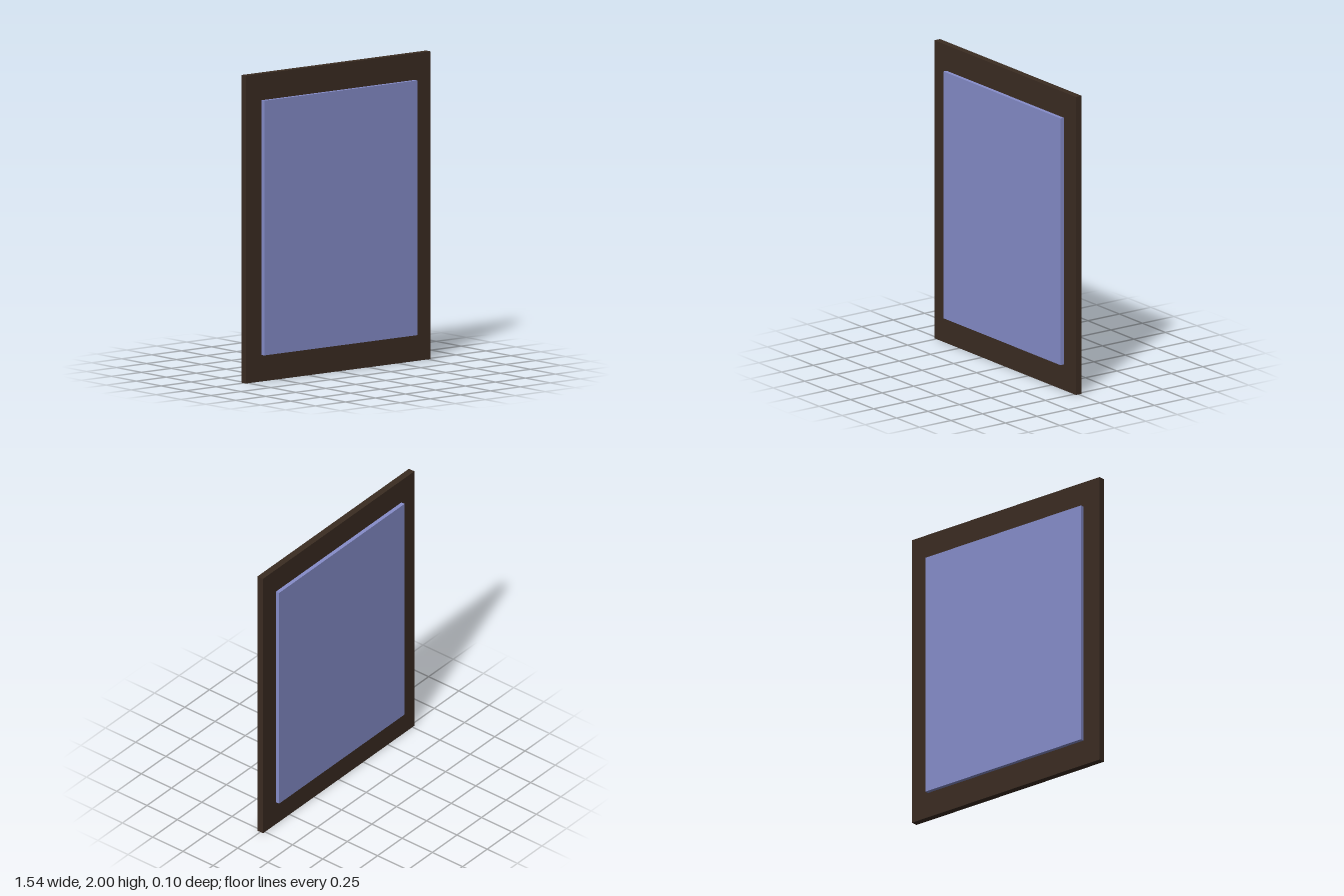
import * as THREE from 'three';

const W = 1.54, H = 2, FRAME_DEPTH = 0.045;
const PANE_W = 1.276, PANE_H = 1.656, PANE_DEPTH = 0.097;

// Rectangle corners centred on the origin
function rectangle(w, h) {
  return [[-1, -1], [1, -1], [1, 1], [-1, 1]].map(([x, y]) => new THREE.Vector2(x * w / 2, y * h / 2));
}

export function createModel() {
  const group = new THREE.Group();
  group.name = 'window';

  const darkWood = new THREE.MeshStandardMaterial({ color: 0x3b2c22 });
  darkWood.name = 'dark wood';
  const blueGlass = new THREE.MeshStandardMaterial({ color: 0x868dca });
  blueGlass.name = 'blue glass';

  // Flat frame with a rectangular opening
  const outline = new THREE.Shape(rectangle(W, H));
  outline.holes.push(new THREE.Path(rectangle(PANE_W, PANE_H)));
  const frameGeometry = new THREE.ExtrudeGeometry(outline, { depth: FRAME_DEPTH, bevelEnabled: false });
  frameGeometry.translate(0, 0, -FRAME_DEPTH / 2);
  const frame = new THREE.Mesh(frameGeometry, darkWood);
  frame.name = 'frame';

  // Thick pane standing proud of the frame on both sides
  const pane = new THREE.Mesh(new THREE.BoxGeometry(PANE_W, PANE_H, PANE_DEPTH), blueGlass);
  pane.name = 'pane';

  for (const part of [frame, pane]) {
    part.position.y = H / 2;
    group.add(part);
  }
  return group;
}
